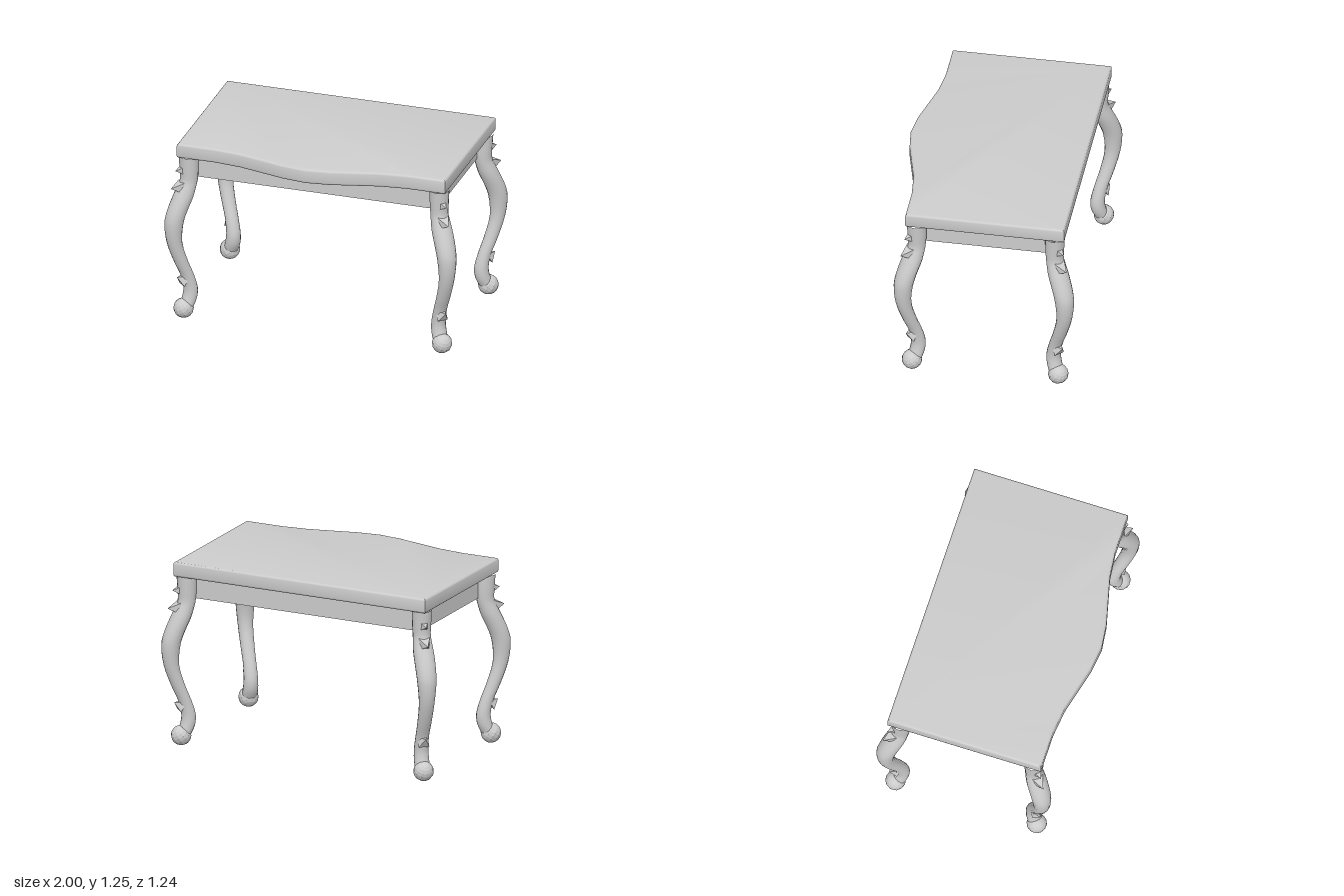
import * as THREE from 'three';
import { toCreasedNormals } from 'three/addons/utils/BufferGeometryUtils.js';

const material = new THREE.MeshStandardMaterial({ color: 0xcccccc });
const flat = new THREE.MeshStandardMaterial({ color: 0xcccccc, flatShading: true });

function add(parent, name, geometry, mat = material) {
  const mesh = new THREE.Mesh(geometry, mat);
  mesh.name = name;
  parent.add(mesh);
  return mesh;
}

// Slab with a serpentine front edge and softly rounded rims
function tableTop() {
  const half = [[0.92, 0.5], [0.66, 0.5], [0.48, 0.52], [0.32, 0.56], [0.16, 0.6]];
  const front = [...half, [0, 0.62], ...half.map(([x, z]) => [-x, z]).reverse()];
  const outline = [[-0.92, -0.55], [0.92, -0.55], ...front];
  const shape = new THREE.Shape(outline.map(([x, z]) => new THREE.Vector2(x, z)));
  const bevel = 0.015;
  const geometry = new THREE.ExtrudeGeometry(shape, {
    depth: 0.1 - 2 * bevel, bevelThickness: bevel, bevelSize: bevel,
    bevelOffset: -bevel, bevelSegments: 3,
  });
  geometry.rotateX(Math.PI / 2).translate(0, 1.25 - bevel, 0);
  return toCreasedNormals(geometry, 0.7);
}

// Cabriole shaft: round sections stacked along a curve, +x is outward
function legShaft() {
  // [outward offset, height, radius]
  const sections = [
    [0, 1.152, 0.065], [-0.004, 1.05, 0.062], [-0.002, 0.98, 0.059], [0.014, 0.93, 0.063],
    [0.038, 0.87, 0.068], [0.083, 0.77, 0.067], [0.106, 0.69, 0.063], [0.103, 0.55, 0.051],
    [0.054, 0.4, 0.046], [0.011, 0.3, 0.044], [-0.015, 0.2, 0.047], [-0.006, 0.13, 0.05],
    [0.022, 0.07, 0.05],
  ];
  const curve = new THREE.CatmullRomCurve3(sections.map((s) => new THREE.Vector3(...s)));
  const rows = 36;
  const geometry = new THREE.CylinderGeometry(1, 1, 1, 16, rows, true);
  const pos = geometry.attributes.position;
  const p = new THREE.Vector3();
  for (let i = 0; i < pos.count; i++) {
    curve.getPoint(0.5 - pos.getY(i), p);
    pos.setXYZ(i, p.x + pos.getX(i) * p.z, p.y, pos.getZ(i) * p.z);
  }
  geometry.computeVertexNormals();
  // Share normals across the seam
  const normal = geometry.attributes.normal;
  const n = new THREE.Vector3();
  for (let r = 0; r <= rows; r++) {
    const a = r * 17, b = a + 16;
    n.set(normal.getX(a) + normal.getX(b), normal.getY(a) + normal.getY(b),
      normal.getZ(a) + normal.getZ(b)).normalize();
    normal.setXYZ(a, n.x, n.y, n.z);
    normal.setXYZ(b, n.x, n.y, n.z);
  }
  return geometry;
}

// Square pyramid pointing outward, tilted upward by an angle
function stud(half, height, x, y, tilt) {
  return new THREE.ConeGeometry(half * Math.SQRT2, height, 4)
    .rotateY(Math.PI / 4)
    .translate(0, height / 2, 0)
    .rotateZ(-Math.PI / 2 + tilt)
    .translate(x, y, 0);
}

function createLeg() {
  const leg = new THREE.Group();
  add(leg, 'legShaft', legShaft());
  add(leg, 'upperStud', stud(0.027, 0.055, 0.042, 1.055, 0), flat);
  add(leg, 'middleStud', stud(0.038, 0.08, 0.05, 0.935, 0), flat);
  add(leg, 'lowerStud', stud(0.036, 0.062, 0.03, 0.263, 0.5), flat);
  const foot = new THREE.SphereGeometry(0.067, 12, 9).rotateZ(-0.6).translate(0.036, 0.066, 0);
  add(leg, 'foot', foot, flat);
  return leg;
}

export function createModel() {
  const model = new THREE.Group();
  model.name = 'table';
  add(model, 'tableTop', tableTop());

  // Closed apron box under the top
  add(model, 'apron', new THREE.BoxGeometry(1.67, 0.155, 0.865).translate(0, 1.0725, -0.0225));

  // Four legs turned diagonally outward
  for (const sx of [-1, 1]) {
    for (const sz of [-1, 1]) {
      const leg = createLeg();
      leg.name = (sz > 0 ? 'front' : 'back') + (sx > 0 ? 'Left' : 'Right') + 'Leg';
      leg.position.set(sx * 0.86, 0, sz * 0.4575 - 0.0225);
      leg.rotation.y = -Math.atan2(sz, sx);
      model.add(leg);
    }
  }
  return model;
}
